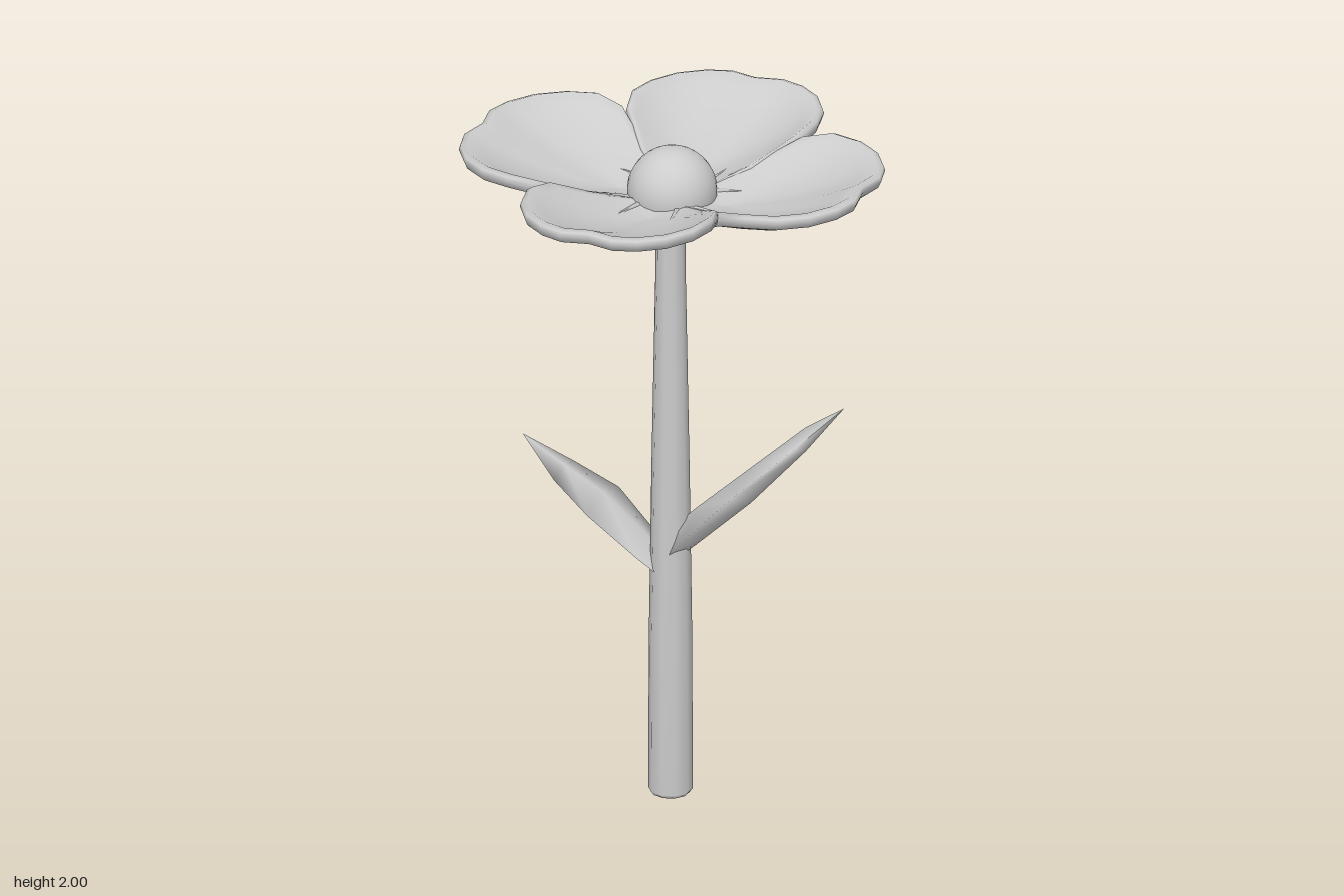
import * as THREE from 'three';

const grey = new THREE.MeshStandardMaterial({ color: 0xcccccc, side: THREE.DoubleSide });
grey.name = 'pale grey';

function mesh(geometry, name) {
  const m = new THREE.Mesh(geometry, grey);
  m.name = name;
  return m;
}

// Smooth skin over a list of closed rings of [x, y, z] points
function loft(rings) {
  const n = rings[0].length, index = [];
  for (let i = 0; i < rings.length - 1; i++) {
    for (let j = 0; j < n; j++) {
      const a = i * n + j, b = i * n + (j + 1) % n;
      index.push(a, a + n, b, b, a + n, b + n);
    }
  }
  const g = new THREE.BufferGeometry();
  g.setAttribute('position', new THREE.Float32BufferAttribute(rings.flat(2), 3));
  g.setIndex(index);
  g.computeVertexNormals();
  return g;
}

// Half outline of a petal, from the notch at its tip to its root: [across, outward, rim height]
const HALF = [
  [0, 0.612, 1.993], [0.08, 0.63, 1.993], [0.15, 0.608, 1.993], [0.22, 0.555, 1.993],
  [0.27, 0.475, 1.993], [0.29, 0.385, 1.993], [0.27, 0.295, 1.975], [0.18, 0.178, 1.91],
  [0.09, 0.085, 1.868], [0, 0, 1.862],
];
const OUTLINE = [...HALF, ...HALF.slice(1, -1).reverse().map(([u, v, y]) => [-u, v, y])];

// Cupped petal: rings run out over the top, round the rim and back underneath
function petalGeometry() {
  const anchor = 0.17;
  const ring = (t, floor, drop, power) => OUTLINE.map(([u, v, y]) => [
    u * t, floor + (y - drop - floor) * Math.pow(t, power), anchor + (v - anchor) * t,
  ]);
  const top = [0, 0.25, 0.5, 0.7, 0.85, 0.95].map((t) => ring(t, 1.852, -0.006, 1.6));
  const rim = [ring(0.99, 1.84, 0.01, 1), ring(1, 1.84, 0.024, 1), ring(0.98, 1.84, 0.042, 1)];
  const under = [0.92, 0.75, 0.5, 0.25, 0].map((t) => ring(t, 1.826, 0.04, 1.5));
  return loft([...top, ...rim, ...under]);
}

// Leaf from diamond sections: [x, keel height, edge height, ridge height, half width]
function leafGeometry(sections) {
  return loft(sections.map(([x, keel, edge, ridge, w]) => [
    [x, keel, 0.01], [x, edge, 0.01 + w], [x, ridge, 0.01], [x, edge, 0.01 - w],
  ]));
}

export function createModel() {
  const flower = new THREE.Group();
  flower.name = 'flower';

  // Tapering stem with a closed, slightly rounded foot
  const profile = [[0, 0], [0.056, 0.003], [0.065, 0.015], [0.063, 0.5], [0.056, 1], [0.045, 1.6], [0.043, 1.85]];
  const stem = mesh(new THREE.LatheGeometry(profile.map(([r, y]) => new THREE.Vector2(r, y)), 10), 'stem');
  stem.position.set(0, 0, 0.011);
  flower.add(stem);

  // A large leaf on the left and a small one on the right
  flower.add(mesh(leafGeometry([
    [0.02, 0.73, 0.765, 0.84, 0.055], [0.08, 0.785, 0.835, 0.9, 0.1], [0.25, 0.945, 1.015, 1.055, 0.148],
    [0.42, 1.135, 1.175, 1.21, 0.09], [0.54, 1.29, 1.29, 1.29, 0],
  ]), 'leftLeaf'));
  flower.add(mesh(leafGeometry([
    [-0.02, 0.67, 0.69, 0.75, -0.045], [-0.07, 0.71, 0.75, 0.785, -0.085], [-0.21, 0.81, 0.87, 0.9, -0.114],
    [-0.33, 0.91, 0.945, 0.965, -0.075], [-0.46, 1.04, 1.04, 1.04, 0],
  ]), 'rightLeaf'));

  // Four petals, the side pair slightly broader, each with two small folds by its root
  const petal = petalGeometry();
  const fold = new THREE.ConeGeometry(0.01, 0.16, 5).rotateX(Math.PI / 2);
  ['front', 'left', 'back', 'right'].forEach((side, k) => {
    const group = new THREE.Group();
    group.name = side + 'Petal';
    group.add(mesh(petal, 'petalBlade'));
    for (const s of [-1, 1]) {
      const f = mesh(fold, 'petalFold');
      f.position.set(s * 0.075, 1.866, 0.18);
      f.rotation.set(-0.08, s * 0.2, 0);
      group.add(f);
    }
    group.rotation.y = k * Math.PI / 2;
    if (k % 2) group.scale.set(1.14, 1, 0.97);
    flower.add(group);
  });

  // Round centre
  const centre = mesh(new THREE.SphereGeometry(0.13, 24, 14, 0, Math.PI * 2, 0, Math.PI * 0.58), 'flowerCentre');
  centre.position.set(-0.004, 1.87, -0.01);
  flower.add(centre);

  return flower;
}
